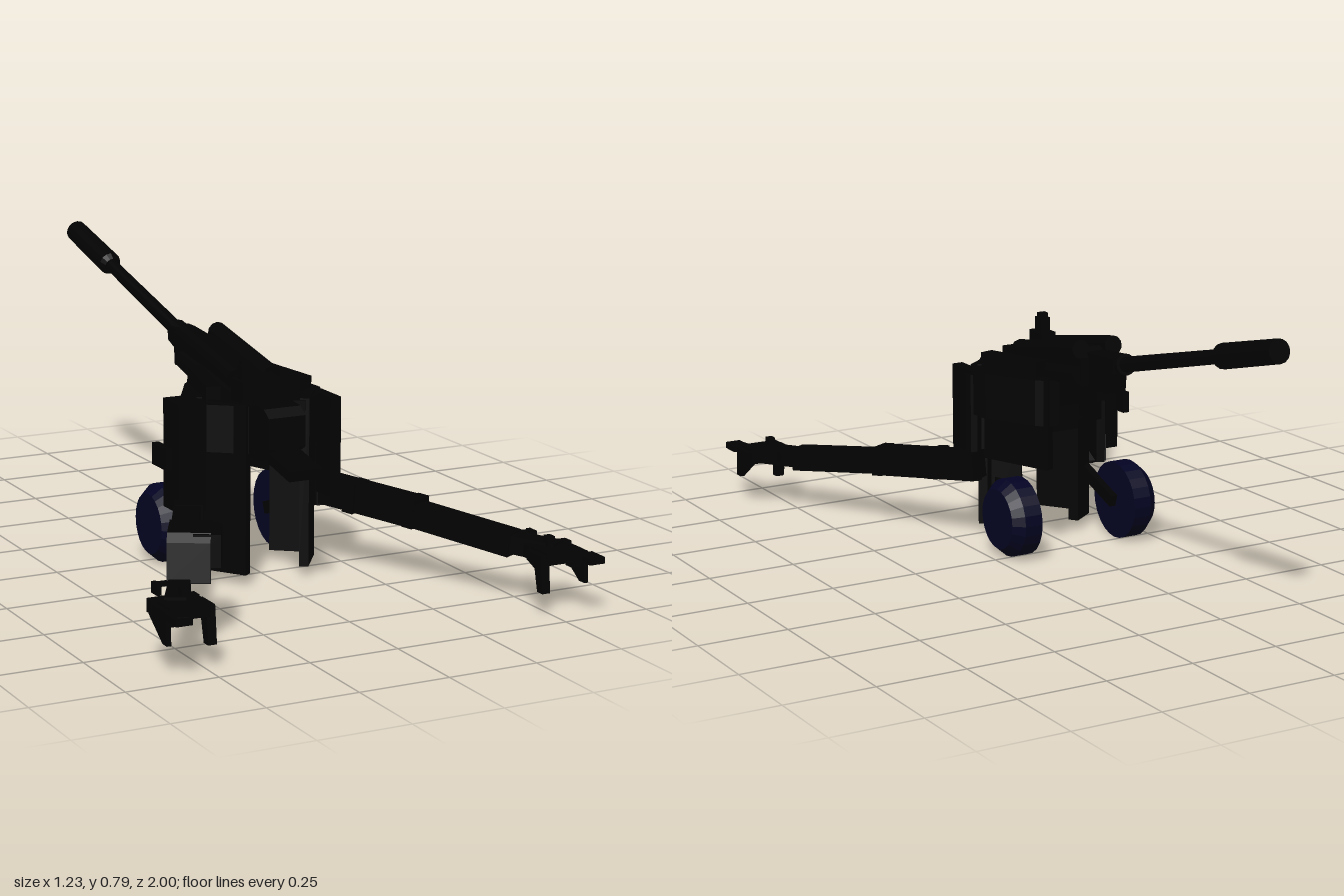
import * as THREE from 'three';

const black = new THREE.MeshStandardMaterial({ color: 0x020202, flatShading: true });
black.name = 'gunBlack';
const navy = new THREE.MeshStandardMaterial({ color: 0x030323, flatShading: true });
navy.name = 'wheelNavy';

export function createModel() {
  const model = new THREE.Group();
  model.name = 'fieldGun';

  const add = (name, geo, mat = black, parent = model) => {
    const m = new THREE.Mesh(geo, mat);
    m.name = name;
    parent.add(m);
    return m;
  };
  const box = (name, x, y, z, w, h, d, parent = model) => {
    const m = add(name, new THREE.BoxGeometry(w, h, d), black, parent);
    m.position.set(x, y, z);
    return m;
  };
  // Box running from a to b
  const beam = (name, a, b, w, h) => {
    const p = new THREE.Vector3(...a), q = new THREE.Vector3(...b);
    const m = add(name, new THREE.BoxGeometry(w, h, p.distanceTo(q)));
    m.position.copy(p).lerp(q, 0.5);
    m.lookAt(q);
    return m;
  };
  // Cylinder running from a to b
  const rod = (name, a, b, r0, r1 = r0, sides = 14) => {
    const p = new THREE.Vector3(...a), q = new THREE.Vector3(...b);
    const m = add(name, new THREE.CylinderGeometry(r1, r0, p.distanceTo(q), sides));
    m.position.copy(p).lerp(q, 0.5);
    m.quaternion.setFromUnitVectors(new THREE.Vector3(0, 1, 0), q.sub(p).normalize());
    return m;
  };
  // Side silhouette given as [z, y] points, extruded across x
  const profile = (name, x, width, pts, parent = model) => {
    const s = new THREE.Shape(pts.map(([z, y]) => new THREE.Vector2(-z, y)));
    const g = new THREE.ExtrudeGeometry(s, { depth: width, bevelEnabled: false });
    g.translate(0, 0, -width / 2);
    g.rotateY(Math.PI / 2);
    const m = add(name, g, black, parent);
    m.position.x = x;
    return m;
  };

  // Barrel and muzzle brake, raised along one line
  const bore = z => [0, 0.515 - 0.25 * z, z];
  rod('barrel', bore(0.3), bore(-0.75), 0.024, 0.019);
  rod('barrelSleeve', bore(0.1), bore(-0.28), 0.034, 0.03);
  rod('muzzleBrakeTaper', bore(-0.725), bore(-0.745), 0.024, 0.033);
  rod('muzzleBrake', bore(-0.745), bore(-0.992), 0.034, 0.032);

  // Cradle with recoil cylinders and breech
  profile('cradle', 0, 0.11, [[0.3, 0.4], [0.3, 0.53], [0.2, 0.55], [-0.1, 0.6], [-0.14, 0.58], [-0.14, 0.5], [0.0, 0.47], [0.05, 0.4]]);
  profile('cradleNose', 0, 0.066, [[-0.1, 0.5], [-0.1, 0.59], [-0.23, 0.6], [-0.27, 0.6], [-0.27, 0.56], [-0.23, 0.545], [-0.225, 0.495]]);
  box('noseLug', 0, 0.48, -0.15, 0.04, 0.04, 0.025);
  for (const s of [-1, 1]) {
    rod('recoilCylinder', [s * 0.055, 0.54, 0.2], [s * 0.052, 0.603, -0.13], 0.027, 0.027, 10);
    rod('lowerCylinder', [s * 0.06, 0.47, 0.3], [s * 0.05, 0.53, -0.13], 0.026, 0.026, 10);
  }
  profile('breech', 0, 0.11, [[0.26, 0.34], [0.26, 0.5], [0.37, 0.49], [0.4, 0.47], [0.4, 0.385], [0.33, 0.34]]);
  beam('loadingTray', [0, 0.36, 0.38], [0, 0.335, 0.505], 0.095, 0.03);
  box('trayHanger', 0, 0.38, 0.39, 0.07, 0.07, 0.02);
  box('turntable', 0, 0.4, 0.16, 0.11, 0.15, 0.2);
  box('sightBase', -0.075, 0.52, 0.295, 0.045, 0.08, 0.07);
  box('sightPost', -0.075, 0.57, 0.295, 0.03, 0.06, 0.035);
  box('sightHead', -0.075, 0.595, 0.295, 0.024, 0.036, 0.022);

  for (const s of [-1, 1]) {
    // Angled shield plates; the rear pair is short, with narrow columns beneath
    beam('rearShield', [s * 0.082, 0.37, -0.015], [s * 0.165, 0.37, 0.195], 0.024, 0.26);
    beam('rearColumn', [s * 0.085, 0.18, 0.14], [s * 0.152, 0.18, 0.19], 0.03, 0.3);
    beam('frontShield', [s * 0.155, 0.265, 0.24], [s * 0.085, 0.265, 0.338], 0.026, 0.47);
    const outline = new THREE.Shape([[0.055, 0.02], [0.09, 0.015], [0.115, -0.01], [0.155, -0.08], [0.195, -0.15], [0.2, -0.21], [0.175, -0.27], [0.085, -0.34], [0.055, -0.33]]
      .map(([x, y]) => new THREE.Vector2(s * x, y)));
    const g = new THREE.ExtrudeGeometry(outline, { depth: 0.13, bevelEnabled: false });
    g.rotateX(-Math.PI / 2);
    add('upperCarriage', g).position.y = 0.365;
    beam('shieldTopRail', [s * 0.09, 0.52, 0.02], [s * 0.14, 0.51, 0.24], 0.04, 0.05);
    box('trunnion', s * 0.08, 0.47, 0.08, 0.07, 0.07, 0.09);
    rod('trailHinge', [s * 0.19, 0.17, 0.23], [s * 0.19, 0.48, 0.23], 0.024, 0.024, 8);

    // Plain disc wheel with chamfered outer face, carried on a short arm
    const wheel = new THREE.LatheGeometry([[0, -0.04], [0.11, -0.04], [0.11, 0.013], [0.085, 0.042], [0, 0.042]]
      .map(([r, y]) => new THREE.Vector2(r, y)), 24);
    const w = add('wheel', wheel, navy);
    w.position.set(s * 0.19, 0.111, 0.02);
    w.rotation.z = -s * Math.PI / 2;
    beam('wheelArm', [s * 0.142, 0.111, 0.01], [s * 0.142, 0.17, 0.18], 0.022, 0.035);

    // Split trail in two steps; the right one breaks off where the stowage box bridges it
    beam('trailRoot', [s * 0.19, 0.218, 0.2], [s * 0.35, 0.19, 0.49], 0.07, 0.078);
    const joint = s < 0 ? [-0.4, 0.174, 0.59] : [0.49, 0.152, 0.76];
    beam('trailEnd', [s * 0.335, 0.188, 0.47], joint, 0.062, 0.065);
    beam('trailTip', [s * 0.475, 0.155, 0.73], [s * 0.555, 0.15, 0.87], 0.055, 0.05);
    beam('trailCollar', [s * 0.34, 0.192, 0.47], [s * 0.355, 0.189, 0.5], 0.075, 0.08);
    beam('trailCollar', [s * 0.245, 0.208, 0.31], [s * 0.26, 0.205, 0.34], 0.075, 0.083);
    box('trailHandle', s * 0.525, 0.17, 0.735, 0.06, 0.012, 0.012);
    box('trailHandleEnd', s * 0.55, 0.165, 0.75, 0.012, 0.03, 0.035);

    // Spade, claws and towing tip
    box('spade', s * 0.54, 0.15, 0.875, 0.11, 0.035, 0.1);
    box('spadeWing', s * 0.545, 0.15, 0.835, 0.13, 0.035, 0.03);
    profile('innerClaw', s * 0.483, 0.024, [[0.85, 0.16], [0.92, 0.16], [0.93, 0.06], [0.905, 0.06], [0.89, 0.12], [0.85, 0.135]]);
    profile('outerClaw', s * 0.603, 0.012, [[0.83, 0.16], [0.93, 0.16], [0.935, 0.075], [0.91, 0.075], [0.83, 0.13]]);
    box('clawGusset', s * 0.585, 0.13, 0.9, 0.03, 0.03, 0.03);
    box('spadeUpright', s * 0.53, 0.175, 0.865, 0.02, 0.04, 0.025);
    beam('towTip', [s * 0.565, 0.15, 0.88], [s * 0.592, 0.152, 0.99], 0.03, 0.022);
    box('towRing', s * 0.592, 0.152, 0.97, 0.045, 0.018, 0.06);
  }

  // Upright panels above the trail roots
  box('rightPanel', -0.23, 0.36, 0.25, 0.08, 0.3, 0.1);
  box('panelBracket', -0.275, 0.35, 0.205, 0.02, 0.06, 0.09);
  box('leftPanel', 0.188, 0.35, 0.27, 0.032, 0.28, 0.11);

  // Arched stowage box on the right trail
  const stowage = new THREE.Group();
  stowage.name = 'stowage';
  stowage.position.set(-0.42, 0, 0.675);
  stowage.rotation.y = -0.5;
  profile('stowageArch', 0, 0.11, [[-0.1, 0.19], [-0.085, 0.27], [-0.06, 0.29], [0.06, 0.29], [0.085, 0.27], [0.1, 0.17], [0.07, 0.16], [0.05, 0.215], [-0.05, 0.215], [-0.07, 0.18]], stowage);
  box('stowagePouch', 0.045, 0.245, 0.01, 0.07, 0.085, 0.12, stowage);
  model.add(stowage);

  return model;
}
